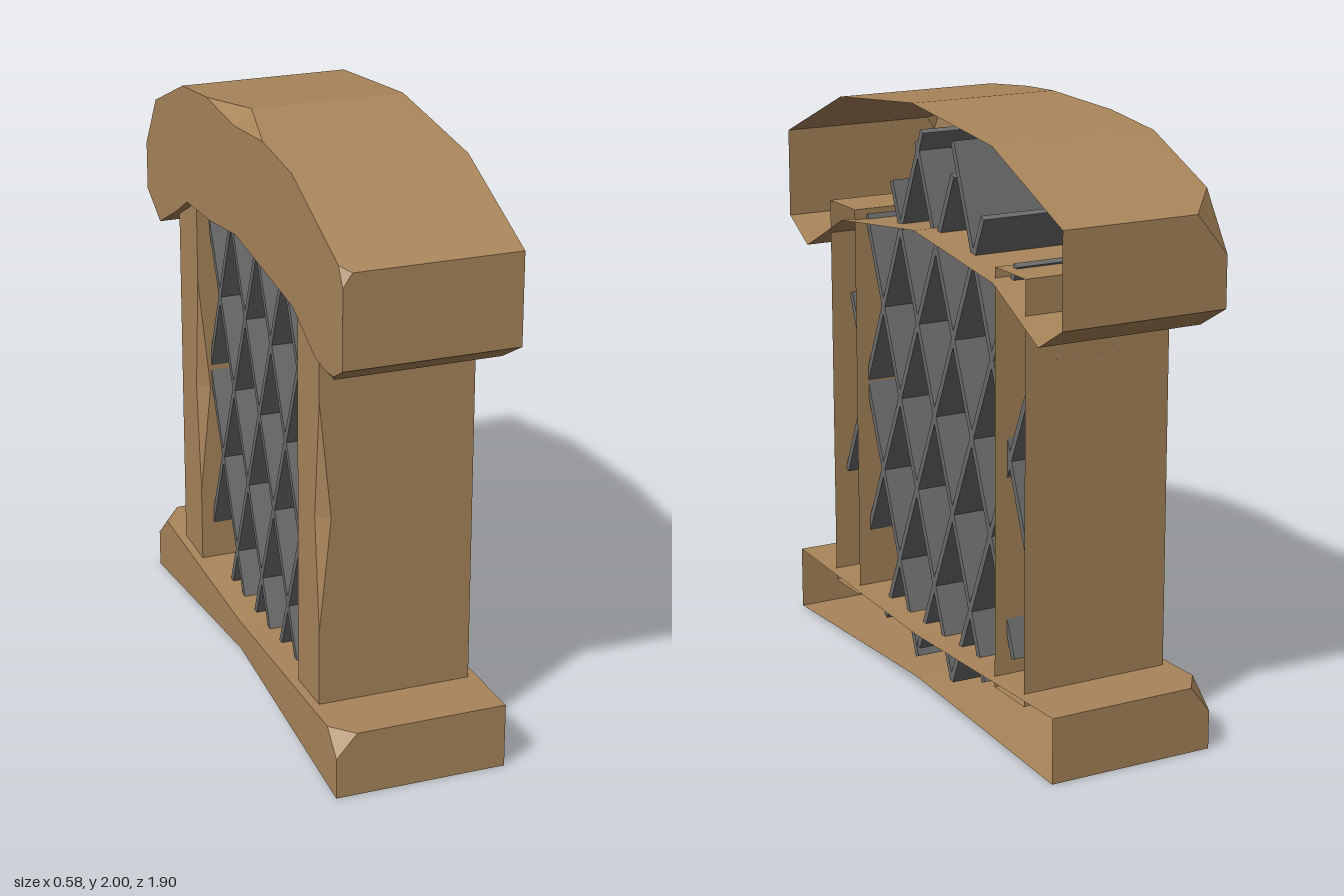
import * as THREE from 'three';

const wood = new THREE.MeshStandardMaterial({ name: 'wood', color: 0xaa865b, flatShading: true, side: THREE.DoubleSide });
const iron = new THREE.MeshStandardMaterial({ name: 'iron', color: 0x6c6c6c, flatShading: true });

// Timber with a (z, y) outline, open on its +x side and closed at -x.
// A point [z, y, depth, capZ, capY] is chipped: the edge is cut back by depth,
// and the cap corner moves to (capZ, capY), or midway between its neighbours.
function timber(name, half, points) {
  const n = points.length;
  const outer = [], edge = [], cap = [];
  points.forEach(([z, y, depth = 0, cz, cy], i) => {
    const a = points[(i + n - 1) % n], b = points[(i + 1) % n];
    outer.push([half, y, z]);
    edge.push([-half + depth, y, z]);
    if (!depth) cap.push([-half, y, z]);
    else cap.push([-half, cy ?? (a[1] + b[1]) / 2, cz ?? (a[0] + b[0]) / 2]);
  });
  const pos = [];
  const quad = (a, b, c, d) => pos.push(...a, ...b, ...c, ...c, ...d, ...a);
  for (let i = 0; i < n; i++) {
    const j = (i + 1) % n;
    quad(outer[i], outer[j], edge[j], edge[i]);
    // chip facets
    if (points[j][2]) pos.push(...edge[i], ...edge[j], ...cap[j]);
    if (points[i][2]) pos.push(...edge[i], ...edge[j], ...cap[i]);
  }
  // end cap
  const flat = cap.map(([, y, z]) => new THREE.Vector2(z, y));
  for (const tri of THREE.ShapeUtils.triangulateShape(flat, [])) {
    for (const k of [...tri].sort((a, b) => a - b)) pos.push(...cap[k]);
  }
  const geo = new THREE.BufferGeometry();
  geo.setAttribute('position', new THREE.Float32BufferAttribute(pos, 3));
  geo.computeVertexNormals();
  const mesh = new THREE.Mesh(geo, wood);
  mesh.name = name;
  return mesh;
}

// Upright post whose chipped edge is at z0
function post(name, z0, inset) {
  const z1 = z0 - 0.19;
  return timber(name, 0.26, [
    [z0, 0.17], [z0, 0.47], [z0, 0.86, 0.04, z0 - inset, 0.86], [z0, 1.255], [z0, 1.56],
    [z1, 1.56], [z1, 0.17],
  ]);
}

// Deep lattice slat between two (z, y) points
function slat([z0, y0, z1, y1]) {
  const dz = z1 - z0, dy = y1 - y0;
  const mesh = new THREE.Mesh(new THREE.BoxGeometry(0.43, Math.hypot(dz, dy), 0.022), iron);
  mesh.position.set(0, (y0 + y1) / 2, (z0 + z1) / 2);
  mesh.rotation.x = Math.atan2(dz, dy);
  mesh.name = 'latticeSlat';
  return mesh;
}

export function createModel() {
  const model = new THREE.Group();
  model.name = 'latticeWindow';

  // arched top beam
  model.add(timber('archBeam', 0.29, [
    [0.95, 1.46], [0.95, 1.72], [0.95, 1.765, 0.03], [0.915, 1.78],
    [0.525, 1.945], [0.27, 1.972], [0, 2, 0.06, 0, 1.95], [-0.27, 1.972], [-0.525, 1.945],
    [-0.83, 1.816], [-0.95, 1.765, 0.11], [-0.95, 1.63], [-0.95, 1.46],
    [-0.81, 1.38], [-0.62, 1.475], [-0.53, 1.52, 0.05, -0.5, 1.545], [-0.26, 1.553],
    [0, 1.585], [0.53, 1.52], [0.72, 1.425], [0.81, 1.38, 0.03, 0.8, 1.413], [0.875, 1.417],
  ]));

  // bottom sill
  model.add(timber('sill', 0.29, [
    [0.91, 0], [0.91, 0.14], [0.91, 0.22, 0.07], [0.83, 0.217], [0, 0.19],
    [-0.81, 0.217], [-0.91, 0.22, 0.07], [-0.91, 0.13], [-0.91, 0], [0, 0.04, 0.06, 0, 0.09],
  ]));

  // posts
  model.add(post('frontPost', 0.68, 0.04), post('backPost', -0.49, 0.035));

  // crossed slats
  const lattice = new THREE.Group();
  lattice.name = 'lattice';
  const slats = [
    [0.67, 0.58, 0.08, 1.89], [0.56, 0.28, -0.13, 1.78], [0.38, 0.12, -0.33, 1.68],
    [0.13, 0.09, -0.54, 1.57], [-0.11, 0.05, -0.67, 1.3],
    [0.14, 0.05, 0.62, 1.24], [-0.11, 0.05, 0.49, 1.54], [-0.33, 0.12, 0.3, 1.69],
    [-0.53, 0.27, 0.12, 1.85], [-0.64, 0.59, -0.13, 1.89],
  ];
  slats.forEach((s) => lattice.add(slat(s)));
  model.add(lattice);
  return model;
}
